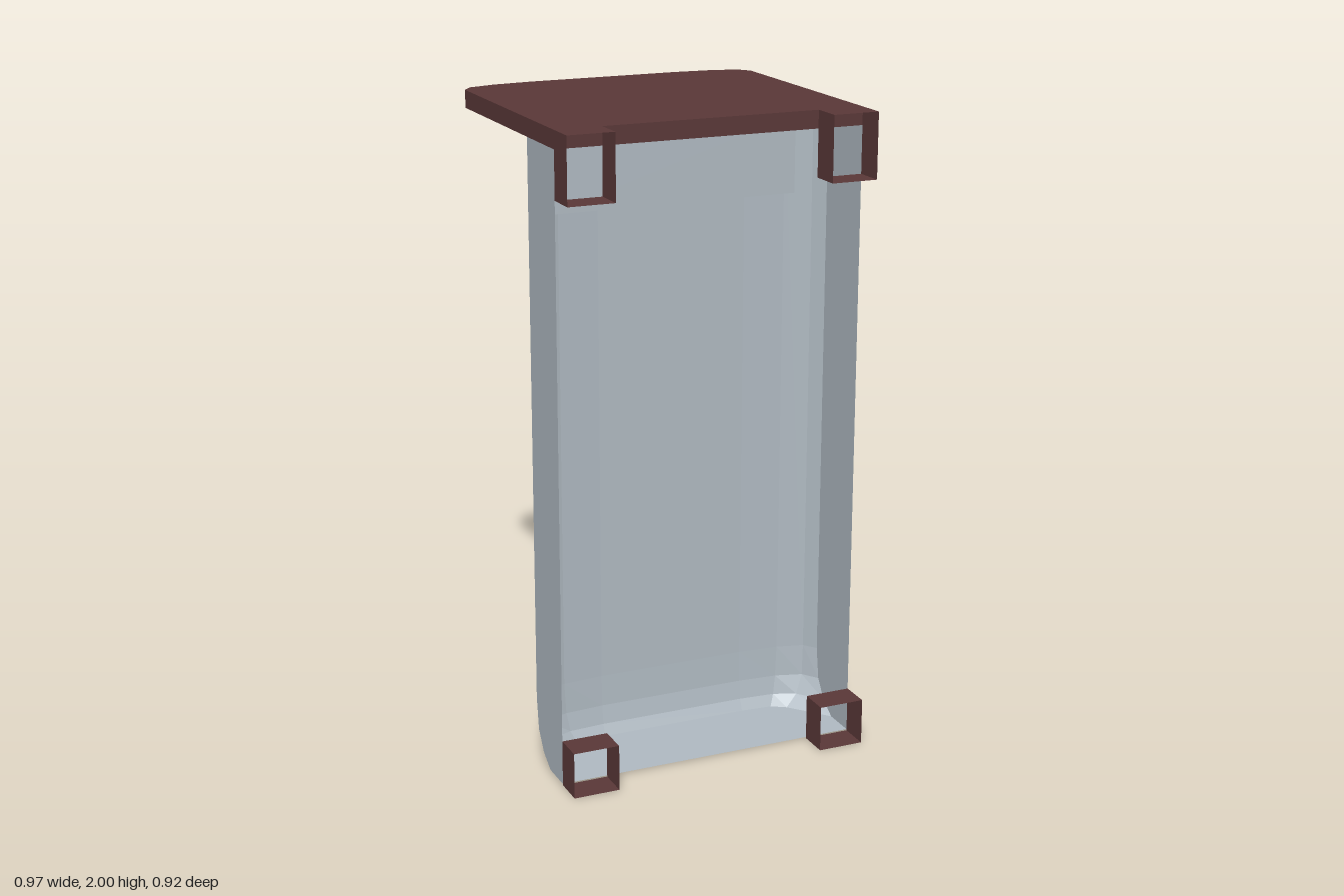
import * as THREE from 'three';

const steel = new THREE.MeshStandardMaterial({ name: 'pale steel', color: 0xb0bac2, flatShading: true, side: THREE.DoubleSide });
const brown = new THREE.MeshStandardMaterial({ name: 'dark brown', color: 0x5a3838, flatShading: true, side: THREE.DoubleSide });

// Skin between successive cross-sections, each with the same number of points.
function loft(sections) {
  const n = sections[0].length, index = [];
  for (let i = 0; i < sections.length - 1; i++) {
    for (let j = 0; j < n - 1; j++) {
      const a = i * n + j, b = a + 1, c = a + n, d = c + 1;
      index.push(a, c, b, b, c, d);
    }
  }
  const geometry = new THREE.BufferGeometry();
  geometry.setAttribute('position', new THREE.Float32BufferAttribute(sections.flat(2), 3));
  geometry.setIndex(index);
  const flat = geometry.toNonIndexed();
  flat.computeVertexNormals();
  return flat;
}

// Half outline [x, z] mirrored into a full one running from +x to -x.
const mirror = (half) => [...half, ...half.slice().reverse().map(([x, z]) => [-x, z])];

export function createModel() {
  const model = new THREE.Group();
  model.name = 'bin';
  const add = (name, geometry, material, parent = model) => {
    const mesh = new THREE.Mesh(geometry, material);
    mesh.name = name;
    parent.add(mesh);
    return mesh;
  };

  // Top plate with a softly bowed rear edge
  const plateOutline = mirror([[0.485, 0.365], [0.485, -0.39], [0.455, -0.43], [0.37, -0.452], [0.24, -0.462]]);
  const plateShape = new THREE.Shape(plateOutline.map(([x, z]) => new THREE.Vector2(x, -z)));
  const plate = new THREE.ExtrudeGeometry(plateShape, { depth: 0.055, bevelEnabled: false });
  plate.rotateX(-Math.PI / 2).translate(0, 1.945, 0);
  add('topPlate', plate, brown);

  // Open-fronted thin shell, its back tucking under at the bottom
  const rings = [
    [1.945, [[0.485, 0.365], [0.485, 0.15], [0.455, 0.11], [0.37, 0.088], [0.24, 0.078]]],
    [0.2, [[0.485, 0.365], [0.485, 0.15], [0.455, 0.11], [0.37, 0.088], [0.24, 0.078]]],
    [0.1, [[0.485, 0.365], [0.485, 0.165], [0.45, 0.115], [0.365, 0.09], [0.24, 0.081]]],
    [0.04, [[0.485, 0.365], [0.485, 0.205], [0.425, 0.127], [0.355, 0.098], [0.24, 0.09]]],
    [0.004, [[0.485, 0.365], [0.485, 0.26], [0.385, 0.14], [0.34, 0.112], [0.24, 0.105]]],
  ];
  add('shell', loft(rings.map(([y, half]) => mirror(half).map(([x, z]) => [x, y, z]))), steel);

  // Shell floor
  const floorOutline = mirror(rings[rings.length - 1][1]);
  const floor = new THREE.ShapeGeometry(new THREE.Shape(floorOutline.map(([x, z]) => new THREE.Vector2(x, z))));
  floor.rotateX(Math.PI / 2).translate(0, 0.004, 0);
  add('floor', floor, steel);

  // Faceted grip on the back, tapered at both ends
  const grip = new THREE.Group();
  grip.name = 'grip';
  model.add(grip);
  const endSection = [[1.945, 0.1], [1.915, 0.075], [1.82, 0.044], [1.725, 0.075], [1.7, 0.1], [1.945, 0.1]];
  const fullSection = [[1.945, 0.1], [1.915, 0.023], [1.82, 0.007], [1.725, 0.023], [1.7, 0.07], [1.7, 0.1]];
  const sectionAt = (x) => {
    const end = Math.abs(x) > 0.39;
    const inset = Math.abs(x) > 0.3 ? 0.012 : 0;
    return (end ? endSection.slice(0, 5).concat([[1.7, 0.1]]) : fullSection)
      .map(([y, z]) => [x, y, end || z > 0.09 ? z : z + inset]);
  };
  add('gripBody', loft([-0.4, -0.36, -0.2, 0.2, 0.36, 0.4].map(sectionAt)), steel, grip);
  const capShape = new THREE.Shape(endSection.slice(0, 5).map(([y, z]) => new THREE.Vector2(-z, y)));
  for (const side of [-1, 1]) {
    const cap = add('gripEnd', new THREE.ShapeGeometry(capShape), steel, grip);
    cap.rotation.y = Math.PI / 2;
    cap.position.x = side * 0.4;
  }
  add('gripFront', new THREE.PlaneGeometry(0.8, 0.245).translate(0, 1.8225, 0.1), steel, grip);

  // Thin rectangular sleeves at the four front corners, open front and back
  const sleeve = (x, bottom, top) => {
    const w = 0.0725;
    const corners = [[-w, bottom], [w, bottom], [w, top], [-w, top], [-w, bottom]];
    return loft([0.365, 0.462].map((z) => corners.map(([dx, y]) => [x + dx, y, z])));
  };
  for (const side of [-1, 1]) {
    add('upperSleeve', sleeve(side * 0.4125, 1.8, 2), brown);
    add('lowerSleeve', sleeve(side * 0.4125, 0, 0.145), brown);
  }

  return model;
}
